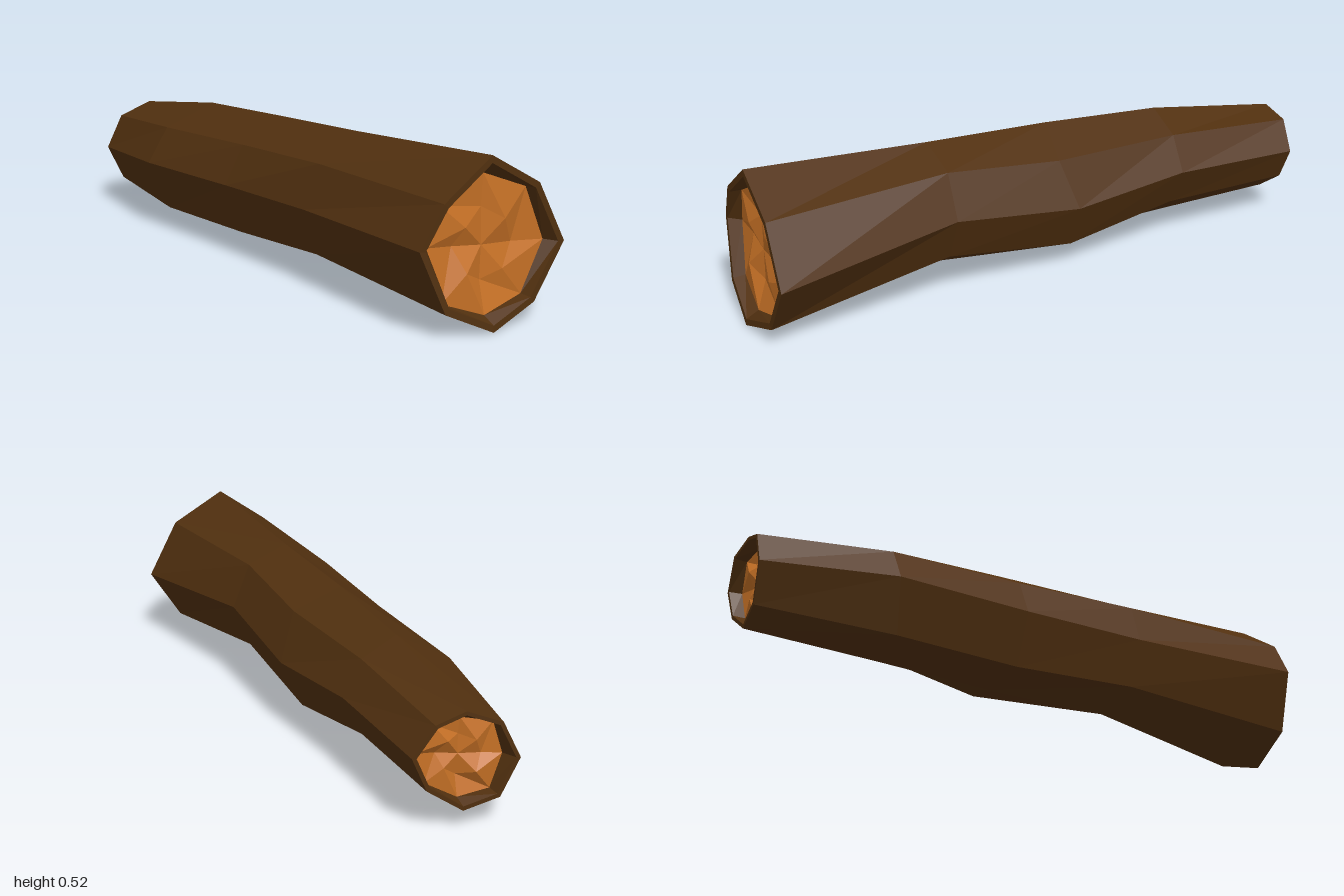
import * as THREE from 'three';

// Log cross-sections, front to back. Each runs top, then round by +x, bottom and -x.
const SECTIONS = [
  [[-0.02, 0.522, 0.975], [0.16, 0.42, 0.985], [0.262, 0.23, 0.99], [0.152, 0.06, 0.985],
    [-0.02, 0.002, 1], [-0.185, 0.08, 0.975], [-0.264, 0.272, 0.95], [-0.188, 0.402, 0.965]],
  [[-0.01, 0.485, 0.36], [0.13, 0.43, 0.36], [0.19, 0.285, 0.36], [0.13, 0.14, 0.36],
    [-0.01, 0.06, 0.34], [-0.16, 0.108, 0.34], [-0.212, 0.26, 0.34], [-0.16, 0.4, 0.35]],
  [[-0.005, 0.465, -0.08], [0.145, 0.39, -0.04], [0.21, 0.235, -0.08], [0.14, 0.08, -0.09],
    [0, 0.045, -0.12], [-0.14, 0.08, -0.1], [-0.204, 0.25, -0.1], [-0.14, 0.38, -0.09]],
  [[0.015, 0.44, -0.5], [0.133, 0.38, -0.5], [0.195, 0.265, -0.5], [0.13, 0.135, -0.5],
    [0.01, 0.05, -0.52], [-0.145, 0.075, -0.54], [-0.21, 0.24, -0.57], [-0.138, 0.36, -0.56]],
  [[0.04, 0.37, -0.97], [0.14, 0.345, -0.97], [0.205, 0.25, -0.955], [0.155, 0.14, -0.955],
    [0.04, 0.06, -0.965], [-0.07, 0.09, -0.985], [-0.125, 0.21, -1], [-0.07, 0.325, -0.99]],
];
const CUT_SCALE = [0.79, 0.9, 0.83, 0.9, 0.83, 0.89, 0.79, 0.905];
const RELIEF = [0.01, -0.01, 0.015, -0.005, 0.02, -0.015, 0.01, -0.01];

// Shrinks a ring towards its centre and shifts it along z.
function inset(ring, scale, shift) {
  const centre = [0, 1, 2].map((k) => ring.reduce((sum, p) => sum + p[k], 0) / ring.length);
  return ring.map((p, i) => {
    const q = p.map((v, k) => centre[k] + (v - centre[k]) * scale(i));
    q[2] += shift(i);
    return q;
  });
}

// Joins successive rings with flat faces.
function loft(rings) {
  const pos = [];
  for (let r = 0; r < rings.length - 1; r++) {
    const a = rings[r], b = rings[r + 1], n = a.length;
    for (let i = 0; i < n; i++) {
      const j = (i + 1) % n;
      pos.push(...a[i], ...a[j], ...b[i], ...a[j], ...b[j], ...b[i]);
    }
  }
  const geo = new THREE.BufferGeometry();
  geo.setAttribute('position', new THREE.Float32BufferAttribute(pos, 3));
  geo.computeVertexNormals();
  return geo;
}

// Rings of one end: bark lip, sunken cut edge, uneven inner ring and centre.
function endRings(ring, inward) {
  return {
    lip: inset(ring, () => 0.915, () => 0),
    edge: inset(ring, (i) => CUT_SCALE[i], () => inward * 0.04),
    middle: inset(ring, () => 0.42, (i) => inward * (0.04 + RELIEF[i])),
    centre: inset(ring, () => 0, () => inward * 0.05),
  };
}

export function createModel() {
  const barkBrown = new THREE.MeshStandardMaterial({ color: 0x51300f, flatShading: true });
  barkBrown.name = 'barkBrown';
  const woodOrange = new THREE.MeshStandardMaterial({ color: 0xc87226, flatShading: true });
  woodOrange.name = 'woodOrange';

  const group = new THREE.Group();
  group.name = 'log';
  const add = (name, rings, material) => {
    const mesh = new THREE.Mesh(loft(rings), material);
    mesh.name = name;
    group.add(mesh);
  };

  const front = endRings(SECTIONS[0], -1);
  const back = endRings(SECTIONS[SECTIONS.length - 1], 1);

  // Bark, with its rims turned in at both ends
  add('bark', [front.edge, front.lip, ...SECTIONS, back.lip, back.edge], barkBrown);
  // Sunken cut wood
  add('frontCut', [front.centre, front.middle, front.edge], woodOrange);
  add('backCut', [back.edge, back.middle, back.centre], woodOrange);
  return group;
}
